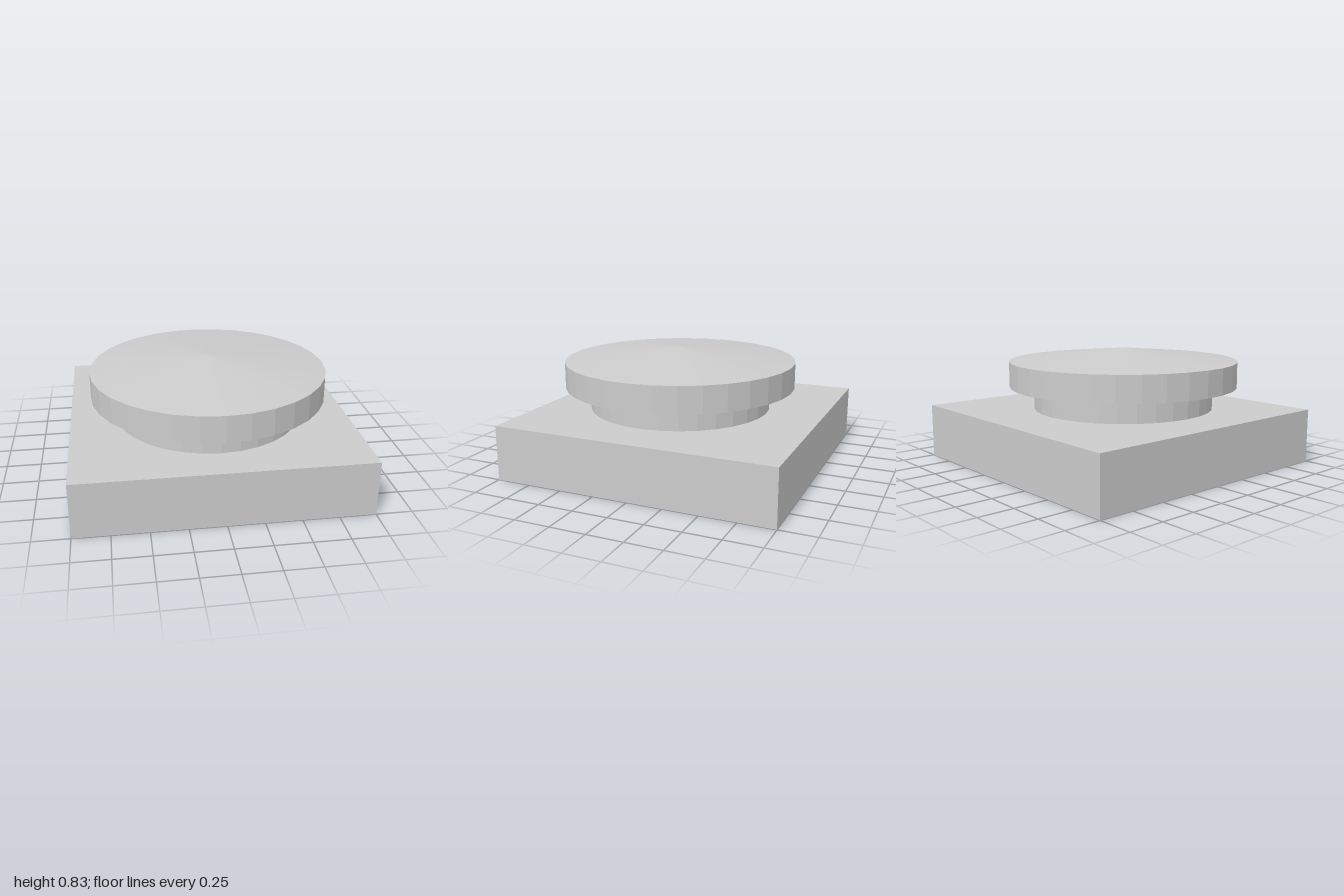
import * as THREE from 'three';

const SIDES = 32;
const CENTRE_Z = 0.065;

export function createModel() {
  const model = new THREE.Group();
  const material = new THREE.MeshStandardMaterial({ color: 0xcccccc, flatShading: true });

  const add = (name, geometry, y, z) => {
    const mesh = new THREE.Mesh(geometry, material);
    mesh.name = name;
    mesh.position.set(0, y, z);
    model.add(mesh);
  };

  // Square block the button stands on
  add('base', new THREE.BoxGeometry(2, 0.39, 2), 0.195, 0);

  // Short round neck between base and cap
  add('neck', new THREE.CylinderGeometry(0.665, 0.665, 0.14, SIDES, 1, true), 0.46, CENTRE_Z);

  // Wide cap: sloped underside, straight rim, shallow cone with a softened tip
  const profile = [
    [0.665, 0.53], [0.845, 0.557], [0.845, 0.745], [0.05, 0.83], [0, 0.835],
  ].map(([r, y]) => new THREE.Vector2(r, y));
  add('cap', new THREE.LatheGeometry(profile, SIDES), 0, CENTRE_Z);

  return model;
}
